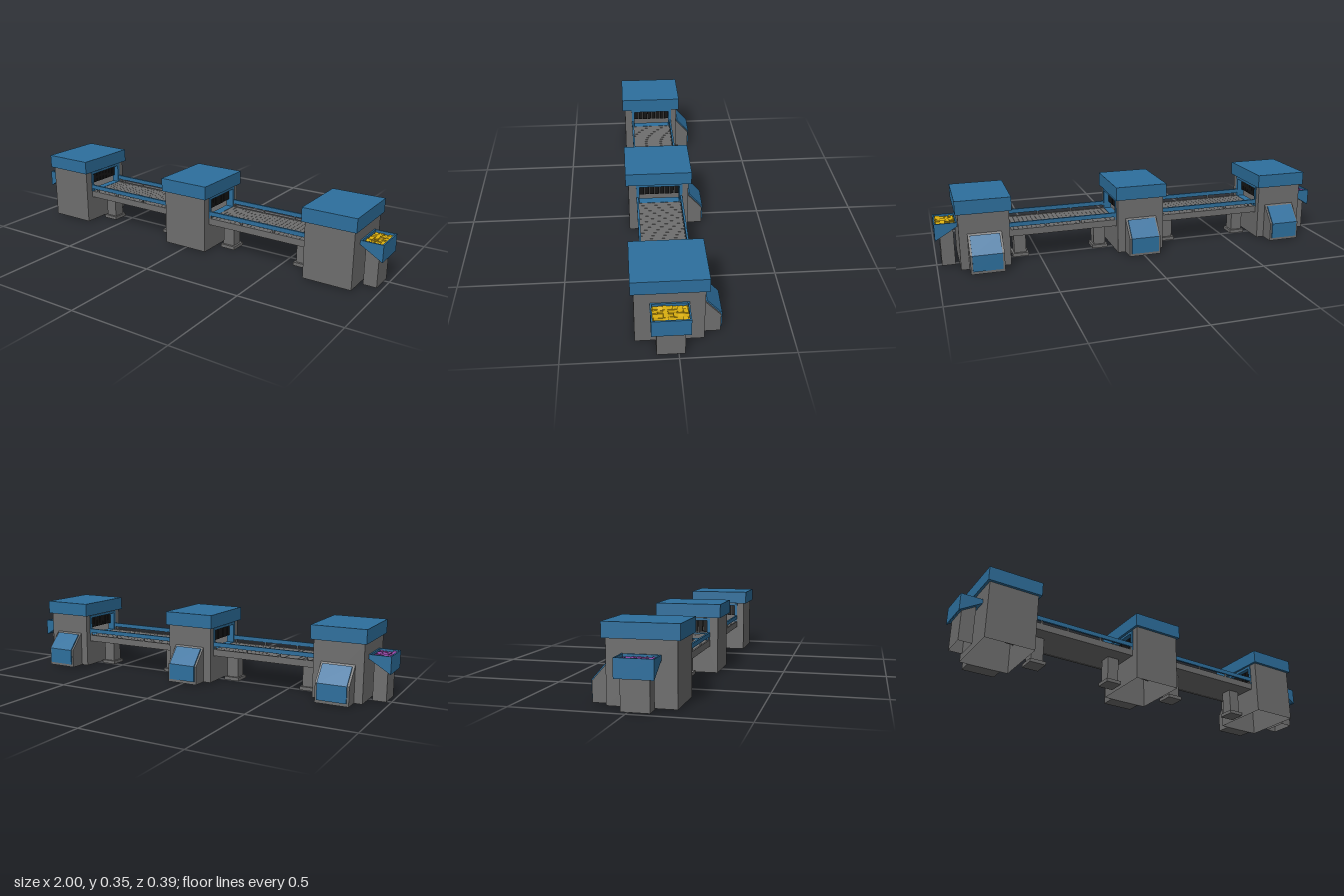
import * as THREE from 'three';

const mat = (name, color, side = THREE.FrontSide) => {
  const m = new THREE.MeshStandardMaterial({ color, side });
  m.name = name;
  return m;
};

export function createModel() {
  const grey = mat('grey metal', 0x6e6e6e);
  const shell = mat('grey metal', 0x6e6e6e, THREE.DoubleSide);
  const blue = mat('blue paint', 0x2d6f9d);
  const black = mat('black rubber', 0x151515);
  const purple = mat('purple parts', 0x8e449f);
  const yellow = mat('yellow parts', 0xdcb00f);

  const model = new THREE.Group();
  model.name = 'conveyorLine';
  const ZC = 0.03; // centre line of the conveyor

  const add = (parent, name, geo, material) => {
    const mesh = new THREE.Mesh(geo, material);
    mesh.name = name;
    parent.add(mesh);
    return mesh;
  };
  const group = (name, x = 0) => {
    const g = new THREE.Group();
    g.name = name;
    g.position.x = x;
    model.add(g);
    return g;
  };
  // box given by its limits on each axis
  const span = (x0, x1, y0, y1, z0, z1) =>
    new THREE.BoxGeometry(x1 - x0, y1 - y0, z1 - z0)
      .translate((x0 + x1) / 2, (y0 + y1) / 2, (z0 + z1) / 2);
  // leave out box faces: 0 +x, 1 -x, 2 +y, 3 -y, 4 +z, 5 -z
  const without = (geo, faces) => {
    const idx = Array.from(geo.index.array);
    geo.setIndex(idx.filter((_, i) => !faces.includes(Math.floor(i / 6))));
    geo.clearGroups();
    return geo;
  };
  const rect = (Type, z0, z1, y0, y1) => {
    const s = new Type();
    s.moveTo(-z1, y0);
    s.lineTo(-z0, y0);
    s.lineTo(-z0, y1);
    s.lineTo(-z1, y1);
    s.closePath();
    return s;
  };
  const outline = pts => new THREE.Shape(pts.map(p => new THREE.Vector2(...p)));
  // extrude a (-z, y) profile along x from x0 to x1
  const alongX = (shape, x0, x1) =>
    new THREE.ExtrudeGeometry(shape, { depth: x1 - x0, bevelEnabled: false })
      .rotateY(Math.PI / 2).translate(x0, 0, 0);

  // ---- machine towers ----
  const HW = 0.119, ZB = -0.115, ZF = 0.184;
  const consoleShape = outline([[0.115, 0.003], [0.19, 0.003], [0.19, 0.095], [0.115, 0.18]]);
  const panelShape = outline([[0.19, 0.018], [0.196, 0.018], [0.196, 0.097],
    [0.128, 0.175], [0.123, 0.171], [0.19, 0.095]]);

  const tower = (name, x, openSides) => {
    const g = group(name, x);
    const drop = [3, ...openSides.map(s => (s > 0 ? 0 : 1))];
    add(g, 'towerBody', without(span(-HW, HW, 0.003, 0.28, ZB, ZF), drop), shell);
    add(g, 'towerCap', span(-0.131, 0.131, 0.28, 0.347, -0.13, 0.198), blue);
    add(g, 'consoleBody', alongX(consoleShape, -0.08, 0.08), grey);
    add(g, 'consolePanel', alongX(panelShape, -0.07, 0.07), blue);

    openSides.forEach(s => {
      // side wall pierced by the conveyor opening
      const wall = rect(THREE.Shape, ZB, ZF, 0.003, 0.28);
      wall.holes.push(rect(THREE.Path, -0.075, 0.135, 0.14, 0.268));
      add(g, 'openSideWall', new THREE.ShapeGeometry(wall)
        .rotateY(Math.PI / 2).translate(s * HW, 0, 0), shell);
      // blue lining around the opening
      const lining = rect(THREE.Shape, -0.085, 0.145, 0.168, 0.276);
      lining.holes.push(rect(THREE.Path, -0.07, 0.13, 0.169, 0.264));
      const a = s * (HW - 0.035), b = s * (HW + 0.004);
      add(g, 'openingFrame', alongX(lining, Math.min(a, b), Math.max(a, b)), blue);
      // hanging curtain strips
      for (let i = 0; i < 8; i++) {
        const z = -0.069 + i * 0.025, cx = s * (HW - 0.022);
        add(g, 'curtainStrip', span(cx - 0.002, cx + 0.002, 0.205, 0.264, z, z + 0.022), black);
      }
    });
  };
  tower('leftEndTower', 0.774, [-1]);
  tower('middleTower', -0.002, [-1, 1]);
  tower('rightEndTower', -0.779, [1]);

  // ---- conveyors between the towers ----
  const conveyor = (name, x0, x1, legs, posts) => {
    const g = group(name);
    const a = x0 - 0.04, b = x1 + 0.04, slats = 28, pitch = (b - a) / slats;
    add(g, 'beltBed', span(a, b, 0.138, 0.16, -0.076, 0.136), grey);
    for (let i = 0; i < slats; i++) {
      const x = a + i * pitch;
      add(g, 'beltSlat', span(x + 0.0005, x + pitch - 0.0005, 0.16, 0.167, -0.075, 0.135), grey);
    }
    for (const s of [-1, 1]) {
      const z = ZC + s * 0.11;
      add(g, 'sideBeam', span(x0, x1, 0.136, 0.169, z - 0.004, z + 0.004), grey);
      add(g, 'guideRail', span(x0, x1, 0.184, 0.205, z - 0.005, z + 0.005), blue);
      posts.forEach(p =>
        add(g, 'railPost', span(p - 0.004, p + 0.004, 0.165, 0.186, z - 0.003, z + 0.003), grey));
    }
    legs.forEach(x => {
      add(g, 'legPost', span(x - 0.03, x + 0.03, 0.015, 0.138, 0.005, 0.065), grey);
      add(g, 'legFoot', span(x - 0.04, x + 0.04, 0, 0.017, -0.007, 0.077), grey);
    });
  };
  conveyor('rightConveyor', -0.661, -0.12, [-0.595, -0.185], [-0.617, -0.48, -0.305, -0.13]);
  conveyor('leftConveyor', 0.116, 0.656, [0.183, 0.593], [0.124, 0.3, 0.475, 0.648]);

  // ---- end hoppers with loose parts ----
  const hopper = (name, s, inner, legX, fill) => {
    const g = group(name);
    const Z0 = -0.048, Z1 = 0.118, T = 0.007;
    const box = (n, xa, xb, y0, y1, z0, z1, m) =>
      add(g, n, span(Math.min(s * xa, s * xb), Math.max(s * xa, s * xb), y0, y1, z0, z1), m);
    const plate = (n, pts, z0, z1) =>
      add(g, n, new THREE.ExtrudeGeometry(outline(pts.map(([x, y]) => [s * x, y])),
        { depth: z1 - z0, bevelEnabled: false }).translate(0, 0, z0), blue);
    const side = [[inner, 0.22], [inner, 0.2], [1, 0.137], [1, 0.22]];
    plate('hopperSide', side, Z0, Z0 + T);
    plate('hopperSide', side, Z1 - T, Z1);
    plate('hopperFloor', [[inner, 0.207], [inner, 0.2], [1, 0.137], [1, 0.144]], Z0, Z1);
    box('hopperEnd', 1 - T, 1, 0.14, 0.22, Z0, Z1, blue);
    box('hopperInnerLip', inner, inner + T, 0.2, 0.22, Z0, Z1, blue);
    const leg = box('hopperLeg', legX - 0.032, legX + 0.032, 0.003, 0.16, -0.027, 0.095, shell);
    // leg top follows the sloped floor
    const p = leg.geometry.attributes.position;
    for (let i = 0; i < p.count; i++) {
      if (p.getY(i) > 0.1) {
        const t = (Math.abs(p.getX(i)) - inner) / (1 - inner);
        p.setY(i, 0.203 - 0.063 * t);
      }
    }
    leg.geometry = without(leg.geometry, [3]);
    leg.geometry.computeVertexNormals();

    // heap of small tumbled blocks
    let seed = 7;
    const rnd = () => (seed = (seed * 16807) % 2147483647) / 2147483647;
    box('heapBase', inner + T, 1 - T, 0.199, 0.203, Z0 + T, Z1 - T, fill);
    for (let i = 0; i < 4; i++) {
      for (let j = 0; j < 7; j++) {
        const block = add(g, 'looseBlock', new THREE.BoxGeometry(0.022, 0.014, 0.022), fill);
        block.position.set(s * (inner + 0.021 + i * (1 - inner - 0.042) / 3),
          0.2 + rnd() * 0.006, Z0 + 0.021 + j * 0.0207);
        block.rotation.set((rnd() - 0.5) * 0.6, 0, (rnd() - 0.5) * 0.6);
      }
    }
  };
  hopper('leftHopper', 1, 0.893, 0.944, yellow);
  hopper('rightHopper', -1, 0.898, 0.95, purple);

  return model;
}
